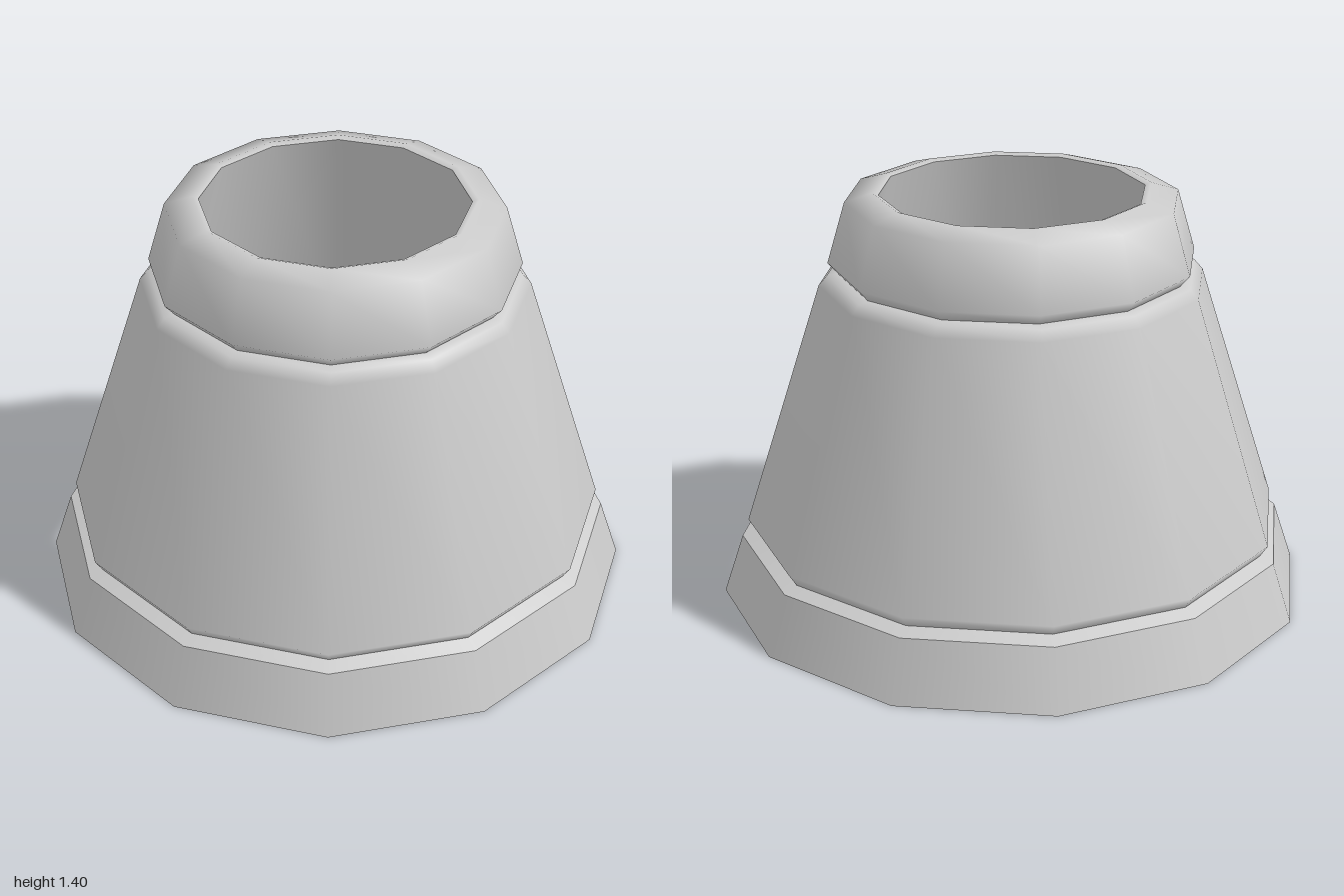
import * as THREE from 'three';

const SIDES = 12;

// Open twelve-sided ring turned from [radius, height] points, corners on the x and z axes
function turned(name, profile, material) {
  const points = profile.map(([r, y]) => new THREE.Vector2(r, y));
  const mesh = new THREE.Mesh(new THREE.LatheGeometry(points, SIDES), material);
  mesh.name = name;
  return mesh;
}

export function createModel() {
  const group = new THREE.Group();
  group.name = 'flaredCollar';
  const material = new THREE.MeshStandardMaterial({ color: 0xcccccc, side: THREE.DoubleSide });

  // Flared foot with a narrow chamfer running into the lower groove
  group.add(turned('foot', [[1, 0], [0.932, 0.203]], material));
  group.add(turned('footChamfer', [[0.932, 0.203], [0.885, 0.223]], material));

  // Tapered body, undercut at the bottom and rounded over at the shoulder
  group.add(turned('body', [
    [0.885, 0.223], [0.91, 0.262], [0.643, 1.09], [0.615, 1.122], [0.58, 1.128],
  ], material));

  // Collar above the upper groove, rolling over the rim
  group.add(turned('collar', [
    [0.58, 1.128], [0.612, 1.165], [0.552, 1.368], [0.46, 1.396], [0.44, 1.388],
  ], material));

  // Inner lining hanging from the rim, open at its lower edge
  group.add(turned('lining', [[0.44, 1.388], [0.695, 0.48]], material));

  return group;
}
